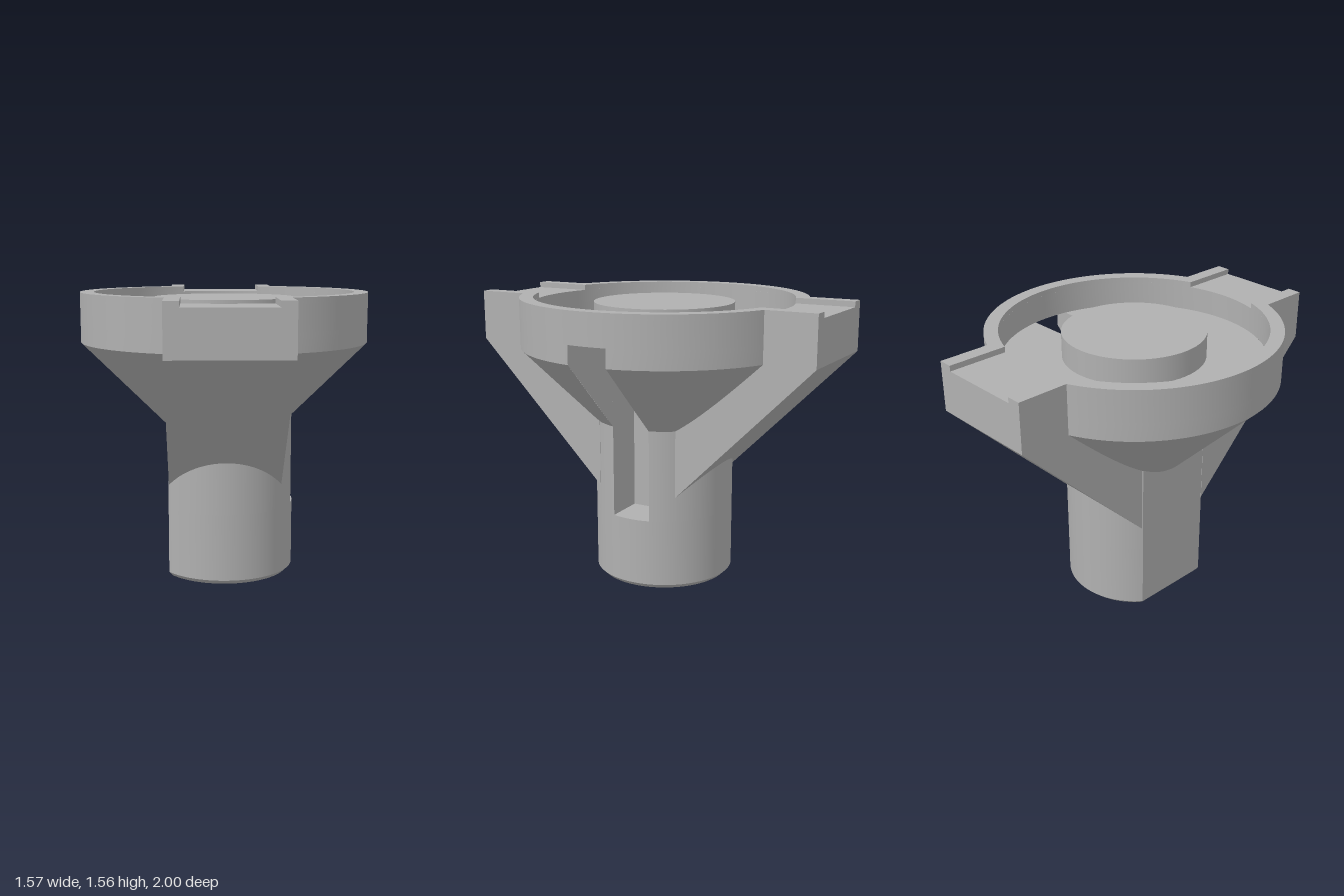
import * as THREE from 'three';
import { toCreasedNormals } from 'three/addons/utils/BufferGeometryUtils.js';

const STEM_R = 0.385, FLAT_X = -0.31;            // stem with one flat side
const RIM_R = 0.785, BOWL_R = 0.71;              // bowl outside and inside
const ARM_X = 0.307, GROOVE_X = 0.23;            // arm and groove half widths
const SLOT_Z = 0.11, SLOT_X = 0.15;              // slot half width and inner wall
const FLOOR_Y = 1.39, GROOVE_Y = 1.53, TOP_Y = 1.56;

export function createModel() {
  const group = new THREE.Group();
  const grey = new THREE.MeshStandardMaterial({ color: 0xb0b0b0, side: THREE.DoubleSide });
  grey.name = 'grey';

  const add = (name, geometry) => {
    const mesh = new THREE.Mesh(geometry, grey);
    mesh.name = name;
    group.add(mesh);
    return mesh;
  };

  // Extrude a plan outline upwards from y0 to y1
  const layer = (shape, y0, y1) => new THREE.ExtrudeGeometry(shape,
    { depth: y1 - y0, bevelEnabled: false, curveSegments: 72 })
    .rotateX(-Math.PI / 2).translate(0, y0, 0);
  const crease = (geometry) => toCreasedNormals(geometry, 0.4);

  // Surface of revolution that leaves the parallel-sided slot open at +x
  const slottedSurface = (r0, y0, r1, y1, rows) => {
    const geo = new THREE.PlaneGeometry(1, 1, 96, rows);
    const pos = geo.attributes.position;
    for (let i = 0; i < pos.count; i++) {
      const u = pos.getX(i) + 0.5, v = pos.getY(i) + 0.5;
      const r = r0 + (r1 - r0) * v;
      const gap = Math.asin(SLOT_Z / r);
      const phi = 2 * Math.PI - gap - u * (2 * Math.PI - 2 * gap);
      pos.setXYZ(i, r * Math.cos(phi), y0 + (y1 - y0) * v, r * Math.sin(phi));
    }
    geo.computeVertexNormals();
    return geo;
  };

  // Stem: plain lower part, chamfered foot and slotted upper part
  const flatAngle = Math.acos(FLAT_X / STEM_R);
  const slotAngle = Math.asin(SLOT_Z / STEM_R);
  const stemPlan = new THREE.Shape();
  stemPlan.absarc(0, 0, STEM_R, -flatAngle, flatAngle, false);
  stemPlan.closePath();
  add('lowerStem', crease(layer(stemPlan, 0.025, 0.39)));

  const foot = layer(stemPlan, 0, 0.025);
  const footPos = foot.attributes.position;
  for (let i = 0; i < footPos.count; i++) {
    if (footPos.getY(i) < 0.01) {
      footPos.setX(i, footPos.getX(i) * 0.935);
      footPos.setZ(i, footPos.getZ(i) * 0.935);
    }
  }
  add('chamferedFoot', crease(foot));

  const slottedPlan = new THREE.Shape();
  slottedPlan.absarc(0, 0, STEM_R, slotAngle, flatAngle, false);
  slottedPlan.absarc(0, 0, STEM_R, 2 * Math.PI - flatAngle, 2 * Math.PI - slotAngle, false);
  slottedPlan.lineTo(SLOT_X, -SLOT_Z);
  slottedPlan.lineTo(SLOT_X, SLOT_Z);
  slottedPlan.closePath();
  add('slottedStem', crease(layer(slottedPlan, 0.39, FLOOR_Y)));

  // Bowl underside, lower drum and floor, all cut by the slot
  add('bowlCone', slottedSurface(0.3, 0.805, RIM_R, 1.29, 12));
  add('bowlDrum', slottedSurface(RIM_R, 1.29, RIM_R, FLOOR_Y, 1));
  add('bowlFloor', slottedSurface(BOWL_R, FLOOR_Y, STEM_R, FLOOR_Y, 6));

  // Slot side walls through the cone
  const wall = new THREE.Shape([[0.369, 0.89], [0.777, 1.29], [0.777, FLOOR_Y], [0.369, FLOOR_Y]]
    .map(([x, y]) => new THREE.Vector2(x, y)));
  for (const side of [-1, 1]) {
    const geo = new THREE.ShapeGeometry(wall);
    if (side > 0) geo.rotateX(Math.PI).scale(1, -1, -1).translate(0, 0, SLOT_Z);
    else geo.translate(0, 0, -SLOT_Z);
    add('slotWall', geo);
  }

  // Central boss in the bowl
  add('centreBoss', new THREE.CylinderGeometry(STEM_R, STEM_R, GROOVE_Y - FLOOR_Y, 96)
    .translate(0, (GROOVE_Y + FLOOR_Y) / 2, 0));

  // Rim: ring joined to both arm ends, up to the groove floor
  const armAngle = Math.acos(ARM_X / RIM_R);
  const rimPlan = new THREE.Shape();
  rimPlan.absarc(0, 0, RIM_R, -armAngle, armAngle, false);
  rimPlan.lineTo(ARM_X, 1);
  rimPlan.lineTo(-ARM_X, 1);
  rimPlan.absarc(0, 0, RIM_R, Math.PI - armAngle, Math.PI + armAngle, false);
  rimPlan.lineTo(-ARM_X, -1);
  rimPlan.lineTo(ARM_X, -1);
  rimPlan.closePath();
  rimPlan.holes.push(new THREE.Path().absarc(0, 0, BOWL_R, 0, 2 * Math.PI, true));
  add('rim', crease(layer(rimPlan, FLOOR_Y, GROOVE_Y)));

  // Raised lips on both sides of the groove
  const grooveAngle = Math.acos(GROOVE_X / BOWL_R);
  const lipPlan = new THREE.Shape();
  lipPlan.moveTo(GROOVE_X, -1);
  lipPlan.lineTo(ARM_X, -1);
  lipPlan.absarc(0, 0, RIM_R, -armAngle, armAngle, false);
  lipPlan.lineTo(ARM_X, 1);
  lipPlan.lineTo(GROOVE_X, 1);
  lipPlan.absarc(0, 0, BOWL_R, grooveAngle, -grooveAngle, true);
  lipPlan.closePath();
  const lip = crease(layer(lipPlan, GROOVE_Y, TOP_Y));
  add('rimLip', lip);
  add('rimLip', lip).rotation.y = Math.PI;

  // Arms: sloping brackets towards the front and back
  const armSide = new THREE.Shape([[0.235, 0.525], [1, 1.29], [1, FLOOR_Y], [0.235, FLOOR_Y]]
    .map(([z, y]) => new THREE.Vector2(z, y)));
  const arm = new THREE.ExtrudeGeometry(armSide, { depth: 2 * ARM_X, bevelEnabled: false })
    .translate(0, 0, -ARM_X).rotateY(-Math.PI / 2);
  add('frontArm', arm);
  add('backArm', arm).rotation.y = Math.PI;

  return group;
}
